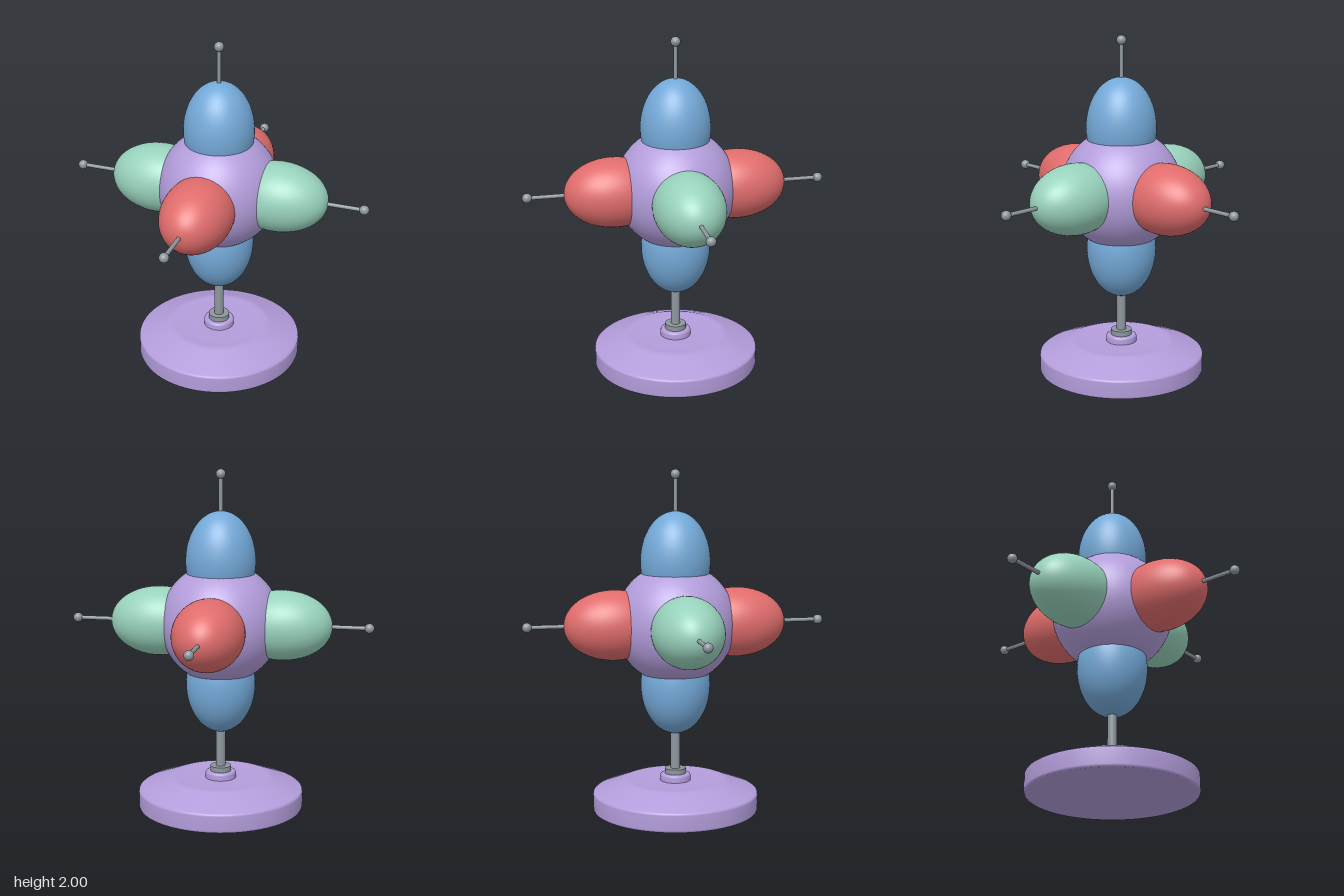
import * as THREE from 'three';

const material = (name, color) => {
  const m = new THREE.MeshStandardMaterial({ color });
  m.name = name;
  return m;
};

export function createModel() {
  const purple = material('lavender', 0xb39ddb);
  const red = material('coral red', 0xe06c6c);
  const green = material('mint green', 0x98d2bc);
  const blue = material('sky blue', 0x74a9d8);
  const grey = material('steel grey', 0x8d979e);

  const model = new THREE.Group();
  model.name = 'orbitalModel';
  const add = (parent, name, geometry, mat, y = 0) => {
    const mesh = new THREE.Mesh(geometry, mat);
    mesh.name = name;
    mesh.position.y = y;
    parent.add(mesh);
    return mesh;
  };

  // Turned base: rounded rim, sloping shoulder, shallow dished top
  const profile = [
    [0, 0], [0.475, 0], [0.483, 0.004], [0.487, 0.015], [0.487, 0.1], [0.484, 0.109], [0.476, 0.115],
    [0.31, 0.18], [0.29, 0.185], [0.265, 0.184], [0.2, 0.177], [0, 0.177],
  ].map(([x, y]) => new THREE.Vector2(x, y));
  // Flat underside is a separate face so that its edge stays crisp
  add(model, 'base', new THREE.LatheGeometry(profile.slice(1), 72), purple);
  add(model, 'baseUnderside', new THREE.CircleGeometry(0.475, 72).rotateX(Math.PI / 2), purple);

  // Stepped collar and post
  const ring = [[0.09, 0.17], [0.09, 0.205], [0.087, 0.214], [0.078, 0.219], [0, 0.219]];
  add(model, 'baseRing', new THREE.LatheGeometry(ring.map(([x, y]) => new THREE.Vector2(x, y)), 40), purple);
  add(model, 'collar', new THREE.CylinderGeometry(0.062, 0.062, 0.035, 40), grey, 0.232);
  add(model, 'post', new THREE.CylinderGeometry(0.028, 0.028, 0.3, 28), grey, 0.39);

  // Core and its six lobes, turned about the vertical axis
  const core = new THREE.Group();
  core.name = 'core';
  core.position.y = 1.112;
  core.rotation.y = THREE.MathUtils.degToRad(20);
  model.add(core);
  add(core, 'coreSphere', new THREE.SphereGeometry(0.352, 64, 40), purple);

  const lobeGeometry = new THREE.SphereGeometry(1, 48, 32).scale(0.203, 0.29, 0.203);
  const rodGeometry = new THREE.CylinderGeometry(0.012, 0.012, 0.25, 16);
  const ballGeometry = new THREE.SphereGeometry(0.028, 24, 16);
  const up = new THREE.Vector3(0, 1, 0);
  const lobes = [
    ['top', [0, 1, 0], blue], ['bottom', [0, -1, 0], blue],
    ['left', [1, 0, 0], red], ['right', [-1, 0, 0], red],
    ['front', [0, 0, 1], green], ['back', [0, 0, -1], green],
  ];
  for (const [name, direction, mat] of lobes) {
    const arm = new THREE.Group();
    arm.name = name + 'Arm';
    arm.quaternion.setFromUnitVectors(up, new THREE.Vector3(...direction));
    add(arm, name + 'Lobe', lobeGeometry, mat, 0.36);
    // The bottom lobe rests on the post instead of carrying a pin
    if (name !== 'bottom') {
      add(arm, name + 'Rod', rodGeometry, grey, 0.735);
      add(arm, name + 'Ball', ballGeometry, grey, 0.86);
    }
    core.add(arm);
  }
  return model;
}
